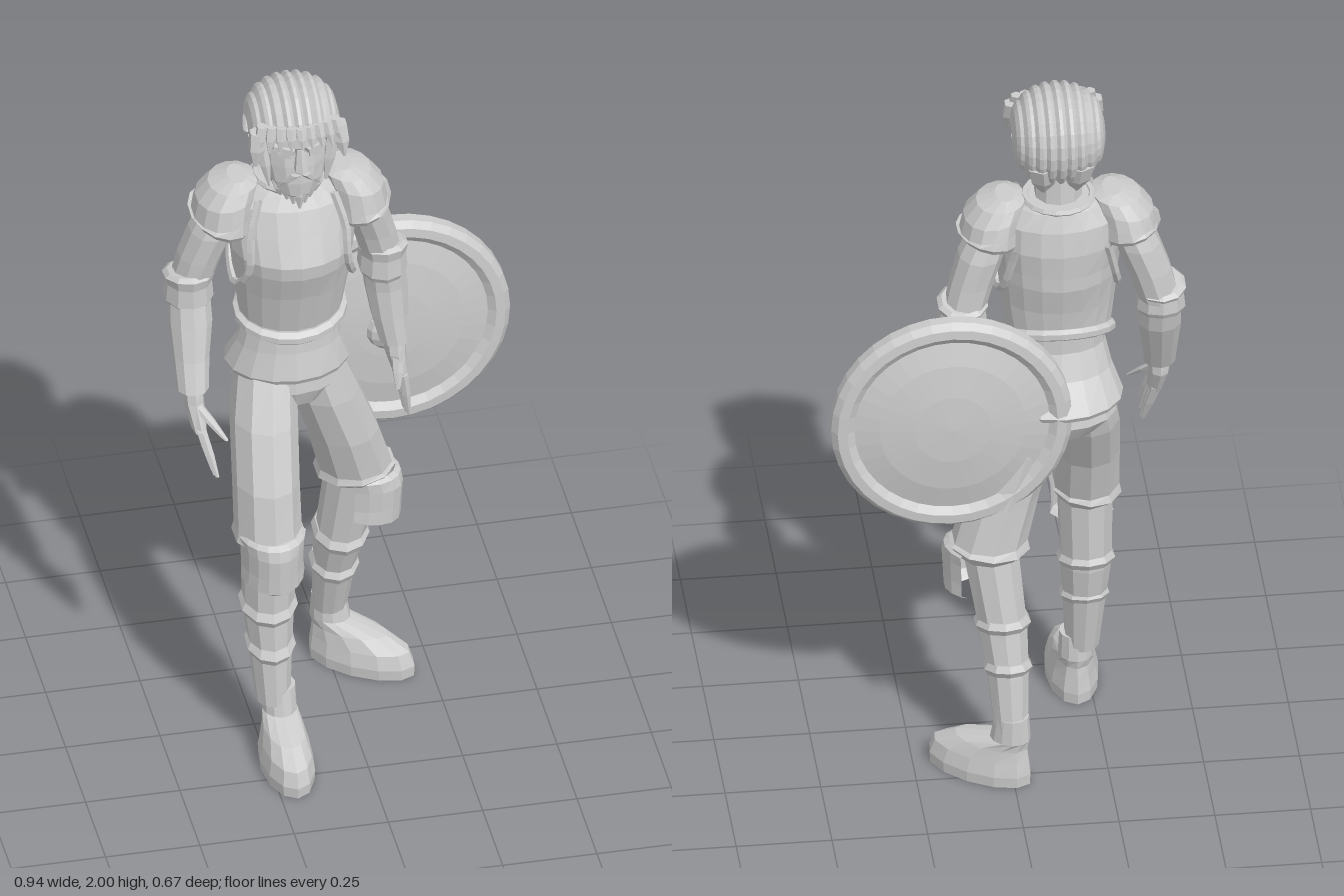
import * as THREE from 'three';

const steel = new THREE.MeshStandardMaterial({ color: 0xcccccc, side: THREE.DoubleSide });
steel.name = 'pale grey';
const CX = -0.14; // centre line of head and torso

// Adds a faceted mesh
function add(parent, name, geometry) {
  const flat = geometry.index ? geometry.toNonIndexed() : geometry;
  flat.computeVertexNormals();
  const mesh = new THREE.Mesh(flat, steel);
  mesh.name = name;
  parent.add(mesh);
  return mesh;
}

// Skin through rings listed top down: [x, y, z, rx, rz, frontTilt, sideTilt]
function loft(rings, n = 10, arc = Math.PI * 2, open = false) {
  const pos = [], idx = [], rows = [...rings].reverse(), w = n + 1;
  for (const [x, y, z, rx, rz, ft = 0, st = 0] of rows) {
    for (let j = 0; j <= n; j++) {
      const a = -arc / 2 + (arc * j) / n, s = Math.sin(a), c = Math.cos(a);
      pos.push(x + rx * s, y + ft * c + st * s, z + rz * c);
    }
  }
  for (let i = 0; i < rows.length - 1; i++) {
    for (let j = 0; j < n; j++) {
      const a = i * w + j, b = a + w;
      idx.push(a, a + 1, b + 1, a, b + 1, b);
    }
  }
  if (!open) {
    [0, rows.length - 1].forEach((r, k) => {
      const c = pos.length / 3;
      pos.push(rows[r][0], rows[r][1], rows[r][2]);
      for (let j = 0; j < n; j++) {
        const a = r * w + j;
        if (k) idx.push(c, a, a + 1);
        else idx.push(c, a + 1, a);
      }
    });
  }
  const g = new THREE.BufferGeometry();
  g.setAttribute('position', new THREE.Float32BufferAttribute(pos, 3));
  g.setIndex(idx);
  return g;
}

// Small tapered piece between two points, the first one on top
function spike(parent, name, p, q, r, tip = 0.2, n = 6) {
  const m = p.map((v, i) => v + (q[i] - v) * 0.5);
  return add(parent, name, loft([[...p, r, r], [...m, r * 0.9, r * 0.9], [...q, r * tip, r * tip]], n));
}

function buildHead(root) {
  const head = new THREE.Group();
  head.name = 'head';
  root.add(head);
  add(head, 'neck', loft([[CX, 1.8, -0.07, 0.06, 0.065], [CX, 1.65, -0.08, 0.065, 0.065]], 10));
  add(head, 'face', loft([
    [CX, 1.95, -0.05, 0.07, 0.08], [CX, 1.9, -0.04, 0.096, 0.105], [CX, 1.865, -0.04, 0.097, 0.108],
    [CX, 1.845, -0.04, 0.094, 0.096], [CX, 1.8, -0.03, 0.09, 0.092], [CX, 1.75, -0.01, 0.078, 0.074],
    [CX, 1.71, 0.005, 0.055, 0.055], [CX, 1.69, 0.01, 0.03, 0.035],
  ], 14));
  add(head, 'nose', loft([[CX, 1.86, 0.055, 0.011, 0.015], [CX, 1.8, 0.065, 0.019, 0.03], [CX, 1.788, 0.06, 0.013, 0.015]], 6));
  // Ridged hair: a scalloped profile swept from forehead over crown to nape
  const profile = [], ridges = 9, steps = ridges * 3;
  for (let i = 0; i <= steps; i++) {
    const x = -0.122 + (0.244 * i) / steps, t = x / 0.124;
    const groove = i % 3 === 0 ? 0.93 : 1.0;
    profile.push(new THREE.Vector2(0.137 * Math.pow(1 - t * t, 0.36) * groove, x));
  }
  const hair = new THREE.LatheGeometry(profile, 14, 0.3, 3.6);
  hair.rotateZ(Math.PI / 2).translate(CX, 1.865, -0.055);
  add(head, 'hair', hair);
  // Fringe, side locks, beard and brows
  for (let i = -4; i <= 4; i++) {
    const x = CX + i * 0.024, z = 0.075 - Math.abs(i) * 0.007;
    spike(head, 'fringeLock', [x, 1.93, z - 0.012], [x + 0.004 * i, 1.875 - 0.004 * Math.abs(i), z + 0.012], 0.015);
    if (Math.abs(i) < 4) {
      const h = 1.665 + Math.abs(i) * 0.011;
      spike(head, 'beardLock', [CX + i * 0.017, 1.745, 0.04 - Math.abs(i) * 0.008], [CX + i * 0.015, h, 0.05 - Math.abs(i) * 0.008], 0.019);
    }
  }
  for (const s of [-1, 1]) {
    spike(head, 'moustache', [CX + s * 0.012, 1.782, 0.06], [CX + s * 0.055, 1.73, 0.035], 0.015);
    spike(head, 'sideLock', [CX + s * 0.105, 1.91, 0.03], [CX + s * 0.118, 1.82, 0.055], 0.025);
    spike(head, 'sideburn', [CX + s * 0.096, 1.86, 0.01], [CX + s * 0.075, 1.73, 0.025], 0.018);
    spike(head, 'ear', [CX + s * 0.1, 1.85, -0.035], [CX + s * 0.09, 1.785, -0.02], 0.02);
    spike(head, 'napeLock', [CX + s * 0.05, 1.82, -0.14], [CX + s * 0.04, 1.72, -0.11], 0.04);
    const brow = add(head, 'brow', new THREE.BoxGeometry(0.055, 0.014, 0.02));
    brow.position.set(CX + s * 0.042, 1.862, 0.056);
    brow.rotation.set(0, s * 0.4, s * 0.15);
    const eye = add(head, 'eye', new THREE.BoxGeometry(0.034, 0.014, 0.008));
    eye.position.set(CX + s * 0.04, 1.836, 0.046);
    eye.rotation.y = s * 0.4;
  }
}

function buildTorso(root) {
  const torso = new THREE.Group();
  torso.name = 'torso';
  root.add(torso);
  add(torso, 'breastplate', loft([
    [CX, 1.695, -0.085, 0.085, 0.08], [CX, 1.68, -0.083, 0.115, 0.095, -0.005], [CX, 1.64, -0.08, 0.165, 0.115],
    [CX, 1.57, -0.07, 0.17, 0.135], [CX, 1.5, -0.053, 0.163, 0.148], [CX, 1.46, -0.055, 0.158, 0.145],
    [CX, 1.38, -0.06, 0.15, 0.12], [CX, 1.29, -0.073, 0.138, 0.098, -0.035], [CX, 1.27, -0.073, 0.142, 0.103, -0.04],
  ], 18));
  add(torso, 'breastplateHem', loft([
    [CX, 1.288, -0.073, 0.138, 0.1, -0.038], [CX, 1.278, -0.073, 0.15, 0.112, -0.04], [CX, 1.262, -0.073, 0.15, 0.112, -0.04], [CX, 1.252, -0.073, 0.136, 0.1, -0.04],
  ], 18));
  const collar = add(torso, 'collar', new THREE.TorusGeometry(0.088, 0.011, 6, 18));
  collar.position.set(CX, 1.69, -0.083);
  collar.rotation.x = Math.PI / 2;
  add(torso, 'tunic', loft([
    [CX, 1.32, -0.075, 0.125, 0.085], [CX, 1.24, -0.078, 0.122, 0.082], [CX, 1.17, -0.09, 0.138, 0.1],
    [CX, 1.095, -0.112, 0.166, 0.138], [CX, 1.08, -0.112, 0.16, 0.13],
  ], 16));
  add(torso, 'hips', loft([
    [CX, 1.13, -0.1, 0.13, 0.1], [CX, 1.04, -0.105, 0.15, 0.115], [CX, 0.99, -0.1, 0.1, 0.09], [CX, 0.96, -0.095, 0.03, 0.05],
  ], 14));
  // Armhole edges and shoulder plates
  for (const s of [-1, 1]) {
    const x = d => CX + s * d;
    const edge = new THREE.CatmullRomCurve3([[0.1, 1.67, 0.005], [0.125, 1.58, 0.03], [0.13, 1.48, 0.04], [0.155, 1.4, -0.02], [0.15, 1.44, -0.12], [0.12, 1.58, -0.17]]
      .map(([d, y, z]) => new THREE.Vector3(x(d), y, z)));
    add(torso, 'armholeTrim', new THREE.TubeGeometry(edge, 16, 0.011, 5));
    add(torso, 'shoulderPlate', loft([
      [x(0.14), 1.705, -0.08, 0.025, 0.045], [x(0.15), 1.69, -0.08, 0.065, 0.08, 0, -s * 0.005],
      [x(0.17), 1.655, -0.08, 0.078, 0.102, 0, -s * 0.012], [x(0.178), 1.61, -0.08, 0.08, 0.112, -0.01, -s * 0.012],
      [x(0.182), 1.59, -0.08, 0.085, 0.118, -0.01, s * 0.015], [x(0.182), 1.575, -0.08, 0.076, 0.108, -0.01, s * 0.015],
    ], 14));
  }
}

function buildArm(root, side, upper, fore, palm, tip, thumb) {
  const arm = new THREE.Group();
  arm.name = side + 'Arm';
  root.add(arm);
  const [ex, ey, ez] = fore[0];
  add(arm, 'upperArm', loft(upper, 10));
  add(arm, 'elbowGuard', loft([
    [ex, ey + 0.045, ez, 0.056, 0.062, 0.01], [ex, ey + 0.035, ez, 0.068, 0.075, 0.01], [ex, ey + 0.015, ez, 0.062, 0.068],
    [ex, ey - 0.03, ez, 0.066, 0.07, -0.01], [ex, ey - 0.045, ez, 0.058, 0.062, -0.01],
  ], 10));
  add(arm, 'forearm', loft(fore, 10));
  // Hand with four fingers and a thumb
  const w = fore[fore.length - 1];
  add(arm, 'palm', loft([[w[0], w[1] + 0.02, w[2], 0.032, 0.036], [w[0], w[1] - 0.03, w[2] + 0.005, 0.028, 0.044], [...palm, 0.02, 0.048]], 8));
  for (let i = 0; i < 4; i++) {
    const d = (i - 1.5) * 0.025;
    const end = [tip[0], tip[1] + Math.abs(i - 1.3) * 0.014, tip[2] + d * 1.2];
    spike(arm, 'finger', [palm[0], palm[1] + 0.012, palm[2] + d], end, 0.014, 0.4);
  }
  spike(arm, 'thumb', [w[0], w[1] - 0.03, w[2] + 0.03], thumb, 0.016, 0.4);
}

function buildLeg(root, side, thigh, shin, knee, turn, foot) {
  const leg = new THREE.Group();
  leg.name = side + 'Leg';
  root.add(leg);
  add(leg, 'trouserLeg', loft(thigh, 10));
  add(leg, 'greave', loft(shin, 10));
  // Overlapping lips of the shin plates
  for (const i of [1, 2]) {
    const [x, y, z, rx, rz] = shin[i];
    add(leg, 'greaveLip', loft([[x, y + 0.03, z, rx, rz, -0.015], [x, y + 0.01, z, rx + 0.01, rz + 0.012, -0.02], [x, y - 0.01, z, rx, rz, -0.02]], 10));
  }
  // Knee guard: a curved plate with a raised lip
  const guard = add(leg, 'kneeGuard', loft([
    [0, 0.07, 0.0, 0.08, 0.1], [0, 0.06, 0, 0.09, 0.115], [0, 0.03, 0, 0.085, 0.122], [0, -0.03, 0, 0.083, 0.118],
    [0, -0.06, 0, 0.086, 0.115, -0.015], [0, -0.075, 0, 0.06, 0.09, -0.02],
  ], 8, 2.7, true));
  guard.position.set(...knee);
  guard.rotation.y = turn;
  const shoe = add(leg, 'shoe', loft([
    [0, 0.2, 0, 0.043, 0.045], [0, 0.13, 0.005, 0.046, 0.055], [0, 0.105, 0.06, 0.053, 0.105],
    [0, 0.07, 0.09, 0.062, 0.14], [0, 0.03, 0.095, 0.07, 0.15], [0, 0, 0.095, 0.068, 0.148],
  ], 12));
  shoe.position.set(foot[0], 0, foot[1]);
  shoe.rotation.y = turn;
}

function buildShield(root) {
  const shield = new THREE.Group();
  shield.name = 'shield';
  shield.position.set(0.155, 1.092, -0.21);
  root.add(shield);
  // Lens shaped board, raised rim and inner ring
  const lens = [[0, -0.05], [0.1, -0.046], [0.19, -0.035], [0.27, -0.015], [0.27, 0.015], [0.19, 0.03], [0.1, 0.038], [0, 0.042]];
  const board = new THREE.LatheGeometry(lens.map(p => new THREE.Vector2(...p)), 32);
  add(shield, 'board', board.rotateX(Math.PI / 2));
  const rim = [[0.255, -0.02], [0.275, -0.035], [0.3, -0.033], [0.315, -0.015], [0.315, 0.015], [0.3, 0.033], [0.275, 0.035], [0.255, 0.02]];
  add(shield, 'rim', new THREE.LatheGeometry(rim.map(p => new THREE.Vector2(...p)), 36).rotateX(Math.PI / 2));
  const grip = add(shield, 'grip', new THREE.SphereGeometry(0.055, 10, 7));
  grip.scale.z = 0.6;
  grip.position.set(-0.02, 0, 0.055);
}

export function createModel() {
  const root = new THREE.Group();
  root.name = 'shieldBearer';
  buildHead(root);
  buildTorso(root);
  buildArm(root, 'right',
    [[-0.3, 1.65, -0.085, 0.05, 0.06], [-0.345, 1.54, -0.09, 0.06, 0.075], [-0.375, 1.46, -0.095, 0.058, 0.07], [-0.4, 1.37, -0.1, 0.055, 0.062]],
    [[-0.405, 1.365, -0.095, 0.055, 0.06], [-0.405, 1.27, -0.07, 0.058, 0.06], [-0.41, 1.18, -0.035, 0.048, 0.05], [-0.413, 1.1, 0.0, 0.042, 0.044]],
    [-0.405, 1.0, 0.04], [-0.375, 0.875, 0.085], [-0.345, 0.99, 0.1]);
  buildArm(root, 'left',
    [[0.02, 1.65, -0.085, 0.05, 0.06], [0.065, 1.54, -0.1, 0.06, 0.075], [0.09, 1.46, -0.11, 0.058, 0.065], [0.113, 1.37, -0.12, 0.055, 0.06]],
    [[0.115, 1.365, -0.12, 0.056, 0.058], [0.125, 1.27, -0.125, 0.058, 0.055], [0.133, 1.18, -0.115, 0.05, 0.048], [0.145, 1.1, -0.105, 0.042, 0.042]],
    [0.158, 1.0, -0.1], [0.175, 0.855, -0.115], [0.14, 0.985, -0.04]);
  buildLeg(root, 'right',
    [[-0.2, 1.1, -0.1, 0.08, 0.1], [-0.218, 0.97, -0.035, 0.088, 0.118], [-0.228, 0.82, 0.04, 0.087, 0.113], [-0.23, 0.69, 0.075, 0.088, 0.105], [-0.23, 0.675, 0.075, 0.094, 0.113, 0, 0.01], [-0.23, 0.65, 0.078, 0.075, 0.09]],
    [[-0.228, 0.67, 0.08, 0.074, 0.085], [-0.23, 0.44, 0.078, 0.068, 0.076], [-0.227, 0.32, 0.09, 0.057, 0.066], [-0.223, 0.16, 0.107, 0.045, 0.053]],
    [-0.225, 0.625, 0.09], 0, [-0.207, 0.106]);
  buildLeg(root, 'left',
    [[-0.08, 1.1, -0.115, 0.08, 0.1], [-0.04, 0.97, -0.125, 0.092, 0.112], [0.012, 0.82, -0.14, 0.096, 0.108], [0.048, 0.69, -0.16, 0.1, 0.1], [0.05, 0.675, -0.163, 0.108, 0.108, 0, 0.01], [0.05, 0.65, -0.165, 0.085, 0.085]],
    [[0.05, 0.67, -0.165, 0.076, 0.08], [0.02, 0.44, -0.198, 0.066, 0.076], [0.01, 0.32, -0.23, 0.056, 0.064], [0.005, 0.16, -0.265, 0.045, 0.047]],
    [0.06, 0.605, -0.165], 0.95, [0.003, -0.268]);
  buildShield(root);
  return root;
}
